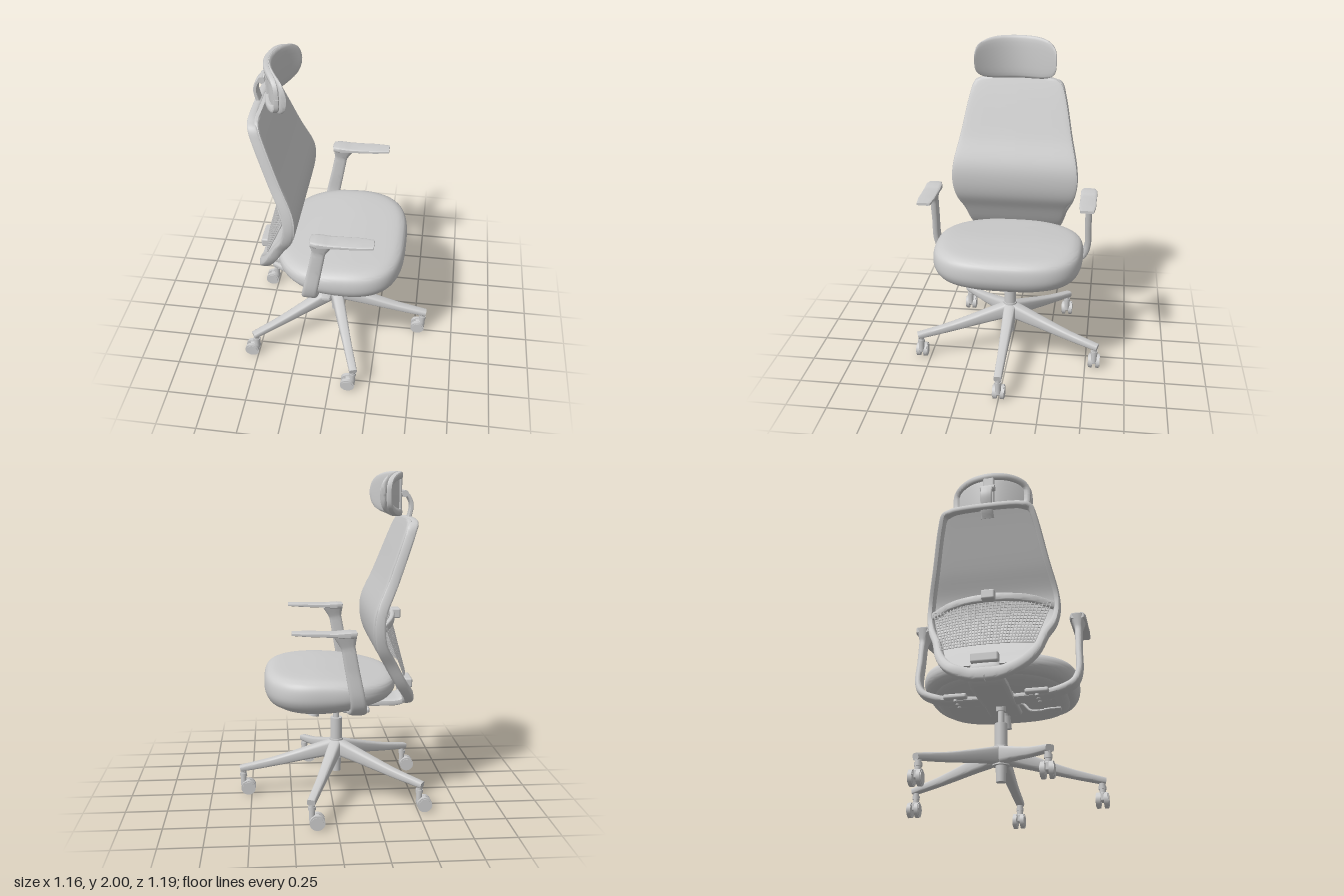
import * as THREE from 'three';
import { toCreasedNormals } from 'three/addons/utils/BufferGeometryUtils.js';
import { RoundedBoxGeometry } from 'three/addons/geometries/RoundedBoxGeometry.js';

const mat = new THREE.MeshStandardMaterial({ color: 0xcccccc, side: THREE.DoubleSide });
const V = (x, y, z) => new THREE.Vector3(x, y, z);
const spow = (v, p) => Math.sign(v) * Math.abs(v) ** p;

function add(parent, name, geo, x = 0, y = 0, z = 0) {
  const m = new THREE.Mesh(geo, mat);
  m.name = name;
  m.position.set(x, y, z);
  parent.add(m);
  return m;
}
const cyl = (r1, r2, h, n = 28) => new THREE.CylinderGeometry(r1, r2, h, n);

// Unit superellipse: [cos, sin] pairs, exponent n
function oval(n, count) {
  return Array.from({ length: count }, (_, i) => {
    const t = (i / count) * Math.PI * 2;
    return [spow(Math.cos(t), 2 / n), spow(Math.sin(t), 2 / n)];
  });
}

// Skin a list of closed rings; both ends are capped at their centres
function loft(rings, crease = 0.6) {
  const cap = r => {
    const c = r.reduce((s, p) => s.add(p), V(0, 0, 0)).divideScalar(r.length);
    return r.map(() => c);
  };
  const all = [cap(rings[0]), ...rings, cap(rings[rings.length - 1])];
  const n = rings[0].length, pos = [], idx = [];
  all.forEach(r => r.forEach(p => pos.push(p.x, p.y, p.z)));
  for (let i = 0; i < all.length - 1; i++) for (let j = 0; j < n; j++) {
    const a = i * n + j, b = i * n + (j + 1) % n;
    if (i > 0) idx.push(a, b, a + n);
    if (i < all.length - 2) idx.push(b, b + n, a + n);
  }
  const g = new THREE.BufferGeometry();
  g.setAttribute('position', new THREE.Float32BufferAttribute(pos, 3));
  g.setIndex(idx);
  return toCreasedNormals(g, crease);
}

// Sweep a rounded section along a curve; sizes are [half width, half depth] at even steps
function sweep(pts, sizes, ref, seg = 24, n = 4, sides = 20) {
  const curve = new THREE.CatmullRomCurve3(pts.map(p => V(...p)), false, 'centripetal');
  const rings = [];
  for (let i = 0; i <= seg; i++) {
    const t = i / seg, f = t * (sizes.length - 1), k = Math.min(Math.floor(f), Math.max(0, sizes.length - 2));
    const s0 = sizes[k], s1 = sizes[Math.min(k + 1, sizes.length - 1)];
    const w = THREE.MathUtils.lerp(s0[0], s1[0], f - k), d = THREE.MathUtils.lerp(s0[1], s1[1], f - k);
    const p = curve.getPoint(t), T = curve.getTangent(t);
    const a = ref.clone().cross(T).normalize(), b = T.clone().cross(a);
    rings.push(oval(n, sides).map(([u, v]) => p.clone().addScaledVector(a, u * w).addScaledVector(b, v * d)));
  }
  return loft(rings);
}

// Cushion-like body: plan outline scaled along a [scale, y] profile
function seatBody(profile, steps) {
  const curve = new THREE.SplineCurve(profile.map(p => new THREE.Vector2(...p)));
  const rings = curve.getPoints(steps).map(({ x: s, y }) => Array.from({ length: 72 }, (_, i) => {
    const t = (i / 72) * Math.PI * 2, c = Math.sin(t), n = c > 0 ? 3 : 2.4;
    const u = spow(c, 2 / n) * s, z = spow(Math.cos(t), 2 / n) * s * 0.46;
    const thin = 1 - 0.35 * THREE.MathUtils.smoothstep(-u, -0.3, 1);
    return V(0.01 + u * 0.4, 0.74 + (y - 0.74) * thin * 1.08, z);
  }));
  return loft(rings, 0.9);
}

const X = V(1, 0, 0), Y = V(0, 1, 0), Z = V(0, 0, 1);
const CX = -0.035; // column axis

// Backrest front line: x, y, half width, from bottom to top
const BACK = [[-0.43, 0.69, 0.25], [-0.36, 0.77, 0.29], [-0.29, 0.9, 0.335], [-0.235, 1.0, 0.38], [-0.215, 1.1, 0.4],
  [-0.222, 1.2, 0.395], [-0.295, 1.38, 0.355], [-0.385, 1.62, 0.305], [-0.412, 1.69, 0.28], [-0.424, 1.72, 0.245], [-0.428, 1.73, 0.2]];

function buildBase(g) {
  add(g, 'hub', cyl(0.042, 0.05, 0.12), CX, 0.295, 0);
  add(g, 'hubSocket', cyl(0.032, 0.028, 0.12), CX, 0.2, 0);
  add(g, 'columnSleeve', cyl(0.037, 0.037, 0.15), CX, 0.415, 0);
  add(g, 'gasPiston', cyl(0.019, 0.019, 0.16), CX, 0.53, 0);
  add(g, 'columnSocket', cyl(0.034, 0.028, 0.07), CX, 0.6, 0);
  for (let i = 0; i < 5; i++) {
    const a = (i / 5) * Math.PI * 2, c = Math.cos(a), s = Math.sin(a);
    const at = (r, y) => [CX + r * c, y, r * s];
    add(g, 'baseLeg', sweep([at(0.01, 0.3), at(0.2, 0.254), at(0.4, 0.205), at(0.605, 0.165)],
      [[0.04, 0.052], [0.034, 0.037], [0.027, 0.026], [0.024, 0.019]], Y, 16));
    // Twin-wheel caster trailing behind its stem
    const k = new THREE.Group();
    k.name = 'caster';
    k.position.set(CX + 0.585 * c, 0, 0.585 * s);
    add(k, 'casterStem', cyl(0.018, 0.018, 0.1, 16), 0, 0.105, 0);
    add(k, 'casterCollar', cyl(0.022, 0.022, 0.02, 16), 0, 0.125, 0);
    add(k, 'casterBody', new RoundedBoxGeometry(0.055, 0.05, 0.026, 2, 0.008), -0.016, 0.065, 0);
    for (const z of [-0.022, 0.022]) {
      add(k, 'casterWheel', cyl(0.045, 0.045, 0.022), -0.03, 0.045, z).rotation.x = Math.PI / 2;
      add(k, 'wheelCap', cyl(0.036, 0.036, 0.028), -0.03, 0.045, z * 1.05).rotation.x = Math.PI / 2;
    }
    g.add(k);
  }
}

function buildSeat(g) {
  add(g, 'seatCushion', seatBody([[0.8, 0.645], [0.92, 0.66], [0.985, 0.7], [1, 0.745], [0.98, 0.79], [0.92, 0.815],
    [0.8, 0.828], [0.5, 0.832], [0.2, 0.832], [0.01, 0.832]], 40));
  add(g, 'seatPan', seatBody([[0.6, 0.618], [0.75, 0.625], [0.85, 0.645], [0.9, 0.68]], 10));
  add(g, 'tiltMechanism', new RoundedBoxGeometry(0.3, 0.06, 0.2, 2, 0.015), -0.02, 0.625, 0);
  add(g, 'tiltKnob', cyl(0.03, 0.036, 0.08), 0.1, 0.545, 0).rotation.z = 0.2;
  add(g, 'knobShaft', cyl(0.018, 0.018, 0.1), 0.085, 0.6, 0).rotation.z = 0.2;
  add(g, 'heightLever', sweep([[-0.05, 0.61, 0.08], [-0.05, 0.595, 0.14], [-0.05, 0.555, 0.18], [-0.05, 0.552, 0.28]],
    [[0.008, 0.008]], X, 20, 2, 10));
  add(g, 'leverPaddle', sweep([[-0.05, 0.552, 0.26], [-0.05, 0.55, 0.3], [-0.05, 0.553, 0.36]],
    [[0.015, 0.008], [0.032, 0.008], [0.025, 0.008]], Y, 12, 3));
}

function buildBack(g) {
  // Fabric panel
  const line = new THREE.CatmullRomCurve3(BACK.map(p => V(...p)), false, 'centripetal');
  add(g, 'backPanel', loft(line.getPoints(60).map(p =>
    oval(8, 32).map(([u, v]) => V(p.x - 0.012 + v * 0.012, p.y, u * (p.z - 0.002))))));
  // Frame round the rim, closing in a wide foot at the bottom
  const side = BACK.map(([x, y, w]) => [x - 0.04, y - (y > 1.71 ? 0.018 : 0), w - 0.018]);
  side[0] = [-0.455, 0.68, 0.2];
  const half = [[-0.46, 0.635, 0.09], ...side];
  const rim = [[-0.462, 0.63, 0], ...half, ...half.map(([x, y, z]) => [x, y, -z]).reverse(), [-0.462, 0.63, 0]];
  add(g, 'backFrame', sweep(rim, [[0.04, 0.026], [0.026, 0.032], [0.018, 0.034], [0.018, 0.03], [0.018, 0.022],
    [0.018, 0.03], [0.018, 0.034], [0.026, 0.032], [0.04, 0.026]], X, 140, 4, 16));
  add(g, 'backSpine', sweep([[-0.45, 0.72, 0], [-0.462, 0.65, 0], [-0.43, 0.613, 0], [-0.3, 0.603, 0], [-0.08, 0.605, 0]],
    [[0.07, 0.02], [0.1, 0.022], [0.11, 0.024], [0.1, 0.022]], Z.clone().cross(X).add(X), 30));
  add(g, 'spineClip', new RoundedBoxGeometry(0.05, 0.06, 0.16, 2, 0.012), -0.475, 0.72, 0);

  // Lumbar band and its adjuster
  add(g, 'lumbarBand', sweep([[-0.27, 1.11, -0.37], [-0.34, 1.14, -0.22], [-0.37, 1.15, 0], [-0.34, 1.14, 0.22], [-0.27, 1.11, 0.37]],
    [[0.014, 0.024]], Y, 36));
  add(g, 'lumbarAdjuster', new RoundedBoxGeometry(0.06, 0.06, 0.08, 2, 0.01), -0.395, 1.15, 0);
  add(g, 'lumbarPad', sweep([[-0.28, 1.17, -0.22], [-0.315, 1.19, 0], [-0.28, 1.17, 0.22]], [[0.012, 0.02]], Y, 24));
  // Lumbar net: crossing strands on a bulged sheet
  const net = (u, v) => {
    const y = 0.82 + v * 0.3, w = 0.27 + 0.085 * v;
    const edge = -0.385 + 0.12 * v;
    return V(edge - 0.03 - (0.03 + 0.04 * v) * (1 - u * u), y, u * w);
  };
  const strand = f => add(g, 'netStrand', new THREE.TubeGeometry(
    new THREE.CatmullRomCurve3(Array.from({ length: 9 }, (_, i) => f(i / 8))), 10, 0.0035, 4));
  for (let i = 0; i <= 14; i++) strand(t => net(t * 2 - 1, i / 14));
  for (let i = 0; i <= 32; i++) strand(t => net(i / 16 - 1, t));
}

function buildHeadrest(g) {
  const bow = z => -0.398 + 0.115 * (z / 0.25) ** 2;
  // Curved pad
  const rings = [];
  for (let i = 0; i <= 48; i++) {
    const u = -Math.cos((i / 48) * Math.PI) * 0.9995, h = 0.13 * (1 - Math.abs(u) ** 3.6) ** (1 / 3.6);
    const z = u * 0.25;
    rings.push(oval(3, 20).map(([a, b]) => V(bow(z) + 0.006 + a * 0.016, 1.87 + b * h, z)));
  }
  add(g, 'headrestPad', loft(rings, 0.9));
  // Raised rim on the back
  const rim = oval(3.6, 32).map(([a, b]) => [bow(a * 0.225) - 0.012, 1.87 + b * 0.108, a * 0.225]);
  add(g, 'headrestRim', sweep([...rim, rim[0]], [[0.022, 0.018]], X, 96, 3, 12));
  // Neck
  add(g, 'headrestNeck', sweep([[-0.43, 1.66, 0], [-0.455, 1.7, 0], [-0.475, 1.75, 0], [-0.482, 1.81, 0], [-0.455, 1.865, 0], [-0.42, 1.88, 0]],
    [[0.018, 0.04], [0.012, 0.036], [0.012, 0.036], [0.014, 0.038]], Z, 30));
  add(g, 'neckPivot', cyl(0.02, 0.02, 0.09, 20), -0.44, 1.87, 0).rotation.x = Math.PI / 2;
  add(g, 'headrestMount', new RoundedBoxGeometry(0.03, 0.2, 0.07, 2, 0.01), -0.408, 1.87, 0);
}

function buildArm(g, s) {
  add(g, 'armPad', sweep([[-0.11, 1.117, s * 0.48], [0, 1.118, s * 0.48], [0.25, 1.127, s * 0.48]],
    [[0.04, 0.018], [0.05, 0.02], [0.05, 0.018], [0.05, 0.013], [0.049, 0.012], [0.049, 0.011], [0.04, 0.008]], Y, 24, 5));
  add(g, 'armPost', sweep([[-0.05, 1.115, s * 0.48], [-0.065, 1.04, s * 0.482], [-0.09, 0.9, s * 0.482], [-0.12, 0.74, s * 0.48],
    [-0.13, 0.675, s * 0.45], [-0.13, 0.635, s * 0.37], [-0.12, 0.615, s * 0.25], [-0.11, 0.61, s * 0.08]],
  [[0.042, 0.068], [0.022, 0.04], [0.02, 0.041], [0.02, 0.044], [0.022, 0.047], [0.022, 0.05], [0.018, 0.055], [0.016, 0.06]], X, 48));
  add(g, 'armBracket', new RoundedBoxGeometry(0.16, 0.03, 0.14, 2, 0.012), -0.13, 0.62, s * 0.24);
  for (let i = 0; i < 3; i++) add(g, 'bracketBolt', cyl(0.012, 0.012, 0.02, 12), -0.18 + i * 0.05, 0.602, s * 0.24);
}

export function createModel() {
  const model = new THREE.Group();
  model.name = 'officeChair';
  const part = (name, build, ...args) => {
    const g = new THREE.Group();
    g.name = name;
    build(g, ...args);
    model.add(g);
  };
  part('base', buildBase);
  part('seat', buildSeat);
  part('backrest', buildBack);
  part('headrest', buildHeadrest);
  part('leftArmrest', buildArm, 1);
  part('rightArmrest', buildArm, -1);
  return model;
}
